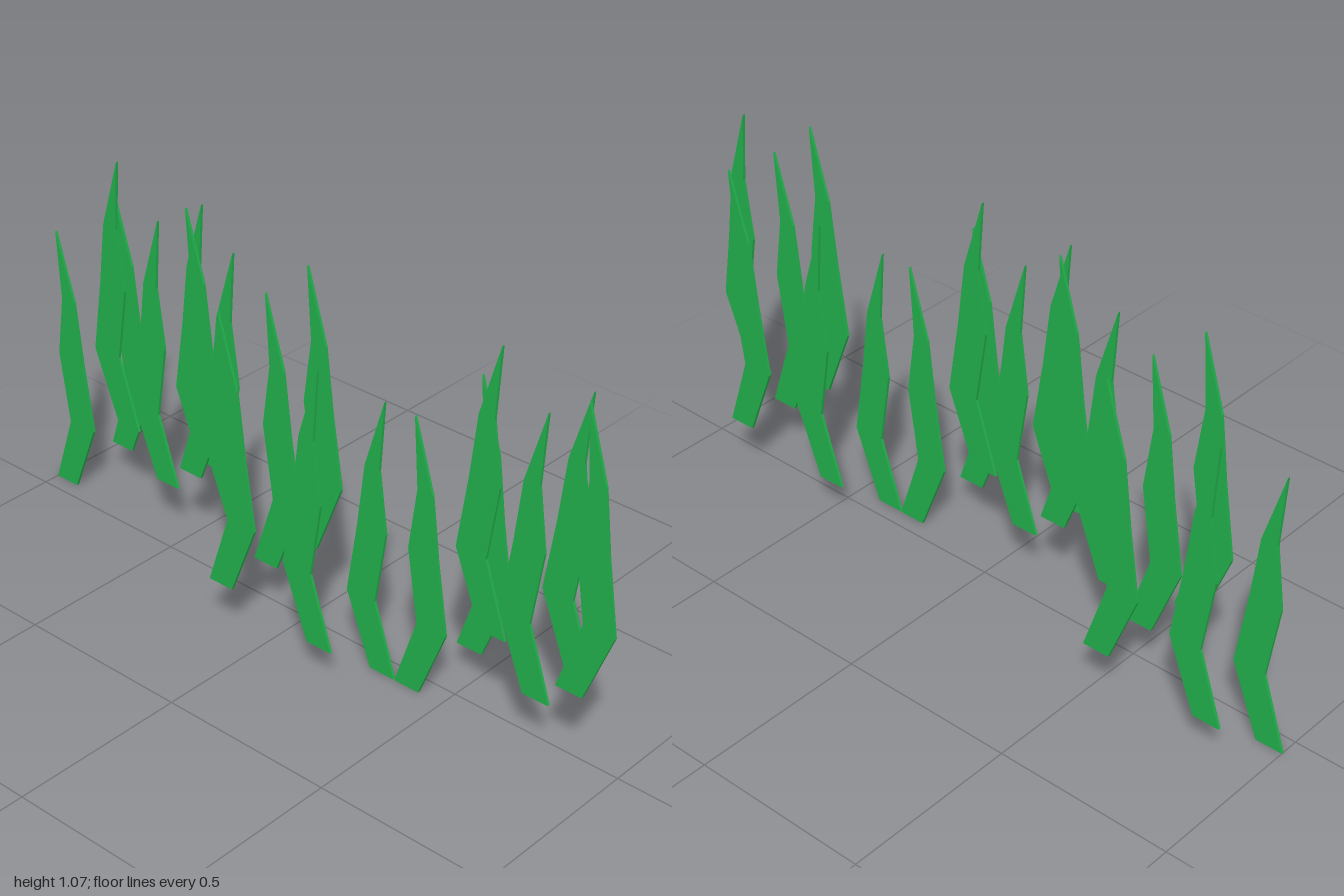
import * as THREE from 'three';

const THICK = 0.008;

// Half outlines of one blade as [distance from the bulging edge, height]
const OUTER = [[0.08, 0], [0, 0.205], [0.032, 0.415], [0.053, 0.59], [0.112, 0.787]];
const INNER = [[0.099, 0.59], [0.123, 0.415], [0.091, 0.205], [0.158, 0]];

// Flat bent blade lying in the z-y plane; dir = +1 bulges to +z, -1 to -z
function bladeGeometry(dir) {
  const points = [...OUTER, ...INNER].map(([d, h]) => new THREE.Vector2(dir * d, h));
  const geometry = new THREE.ExtrudeGeometry(new THREE.Shape(points), { depth: THICK, bevelEnabled: false });
  geometry.translate(0, 0, -THICK / 2);
  geometry.rotateY(Math.PI / 2);
  return geometry;
}

// Blades: x, base height, z of the bulging edge, bulge direction
const BLADES = [
  // front clump
  [-0.053, 0.228, 1.0, 1],
  [0.092, 0.157, 0.685, -1],
  [-0.053, 0.157, 0.667, -1],
  [-0.053, 0.278, 0.53, -1],
  [0.07, 0.098, 0.606, 1],
  [-0.053, 0, 0.507, 1],
  // middle clump
  [-0.053, 0, 0.188, -1],
  [-0.179, 0.098, 0.086, -1],
  [-0.053, 0.278, 0.165, 1],
  [-0.053, 0.157, 0.027, 1],
  [-0.2, 0.157, 0.008, 1],
  [-0.053, 0.228, -0.305, -1],
  // back clump
  [0.052, 0.228, -0.346, 1],
  [0.198, 0.157, -0.658, -1],
  [0.052, 0.157, -0.673, -1],
  [0.052, 0.278, -0.817, -1],
  [0.176, 0.098, -0.741, 1],
  [0.052, 0, -0.842, 1],
];

export function createModel() {
  const group = new THREE.Group();
  group.name = 'grassBlades';
  const material = new THREE.MeshStandardMaterial({ color: 0x22b14c });
  const shapes = { 1: bladeGeometry(1), [-1]: bladeGeometry(-1) };

  BLADES.forEach(([x, y, z, dir], i) => {
    const blade = new THREE.Mesh(shapes[dir], material);
    blade.name = `blade${i + 1}`;
    blade.position.set(x, y, z);
    group.add(blade);
  });
  return group;
}
